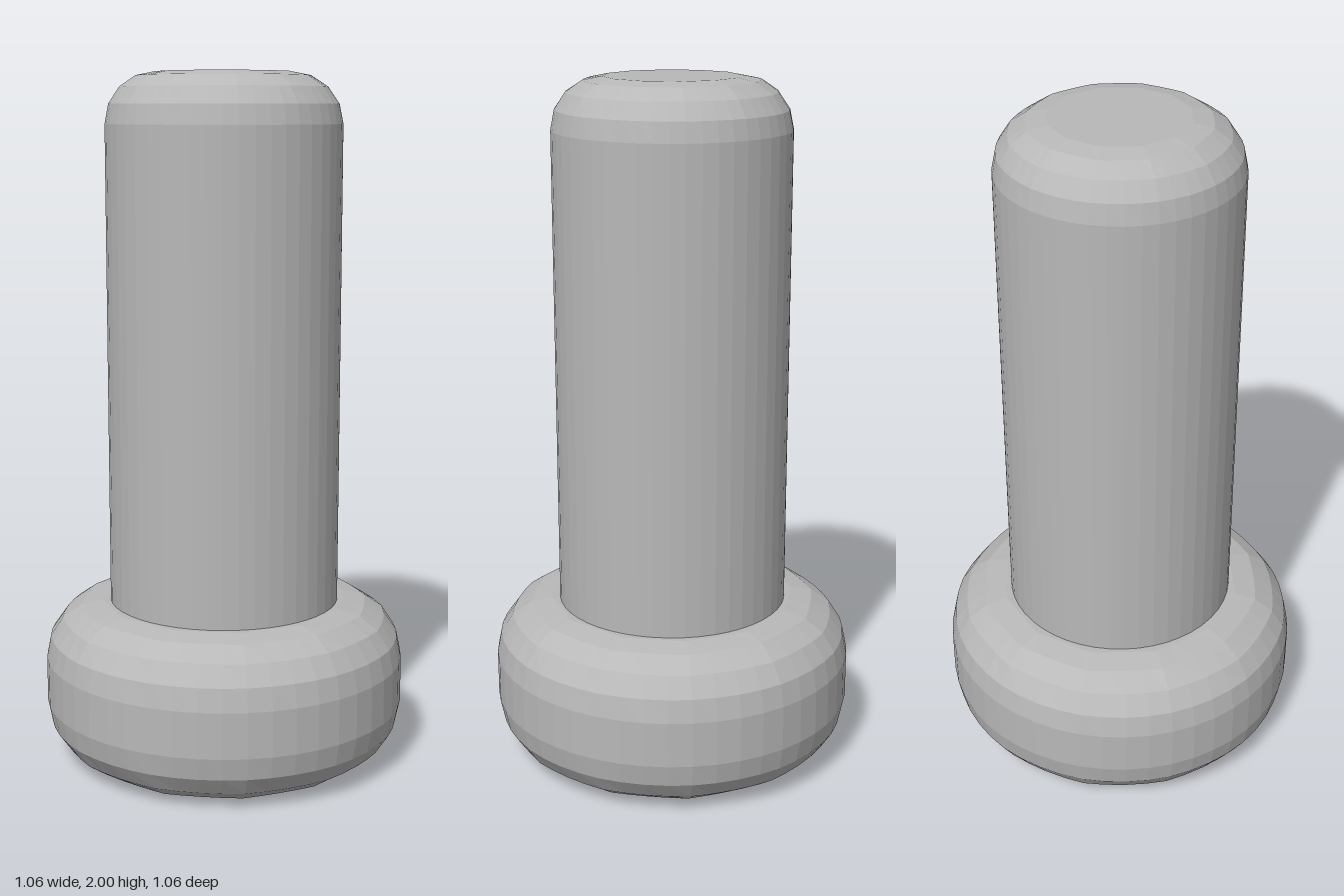
import * as THREE from 'three';

const SEGMENTS = 48;
const FACETS = 12;

// Round profile corner from angle a to b (radians), centred on (cx, cy)
function fillet(cx, cy, r, a, b, steps = 4) {
  return Array.from({ length: steps + 1 }, (_, i) => {
    const t = a + (b - a) * i / steps;
    return new THREE.Vector2(cx + r * Math.cos(t), cy + r * Math.sin(t));
  });
}

// Turned solid whose rounded edges fade from a circle into a 12-sided flat
function turned(name, profile, flatRadius, fullRadius, material) {
  const lathe = new THREE.LatheGeometry(profile, SEGMENTS);
  const p = lathe.attributes.position;
  const step = Math.PI * 2 / FACETS;
  for (let i = 0; i < p.count; i++) {
    const x = p.getX(i), z = p.getZ(i), r = Math.hypot(x, z);
    if (r < 1e-6) continue;
    const angle = Math.atan2(z, x) + Math.PI * 2;
    const polygon = Math.cos(step / 2) / Math.cos((angle % step) - step / 2);
    const weight = THREE.MathUtils.clamp((fullRadius - r) / (fullRadius - flatRadius), 0, 1);
    const k = 1 + (polygon * 1.01 - 1) * weight;
    p.setX(i, x * k);
    p.setZ(i, z * k);
  }
  const geometry = lathe.toNonIndexed();
  geometry.computeVertexNormals();
  const mesh = new THREE.Mesh(geometry, material);
  mesh.name = name;
  return mesh;
}

export function createModel() {
  const group = new THREE.Group();
  group.name = 'roundedPin';
  const steel = new THREE.MeshStandardMaterial({ color: 0xb8b8b8, flatShading: true });
  steel.name = 'steel grey';
  const q = Math.PI / 2;

  // Wide rounded foot
  const foot = [
    new THREE.Vector2(0, 0),
    ...fillet(0.358, 0.17, 0.17, -q, 0),
    ...fillet(0.358, 0.302, 0.17, 0, q),
    new THREE.Vector2(0, 0.472),
  ];
  group.add(turned('foot', foot, 0.358, 0.528, steel));

  // Straight shaft with a rounded tip
  const shaft = [
    new THREE.Vector2(0.337, 0.46),
    ...fillet(0.192, 1.855, 0.145, 0, q),
    new THREE.Vector2(0, 2),
  ];
  group.add(turned('shaft', shaft, 0.192, 0.337, steel));

  return group;
}
